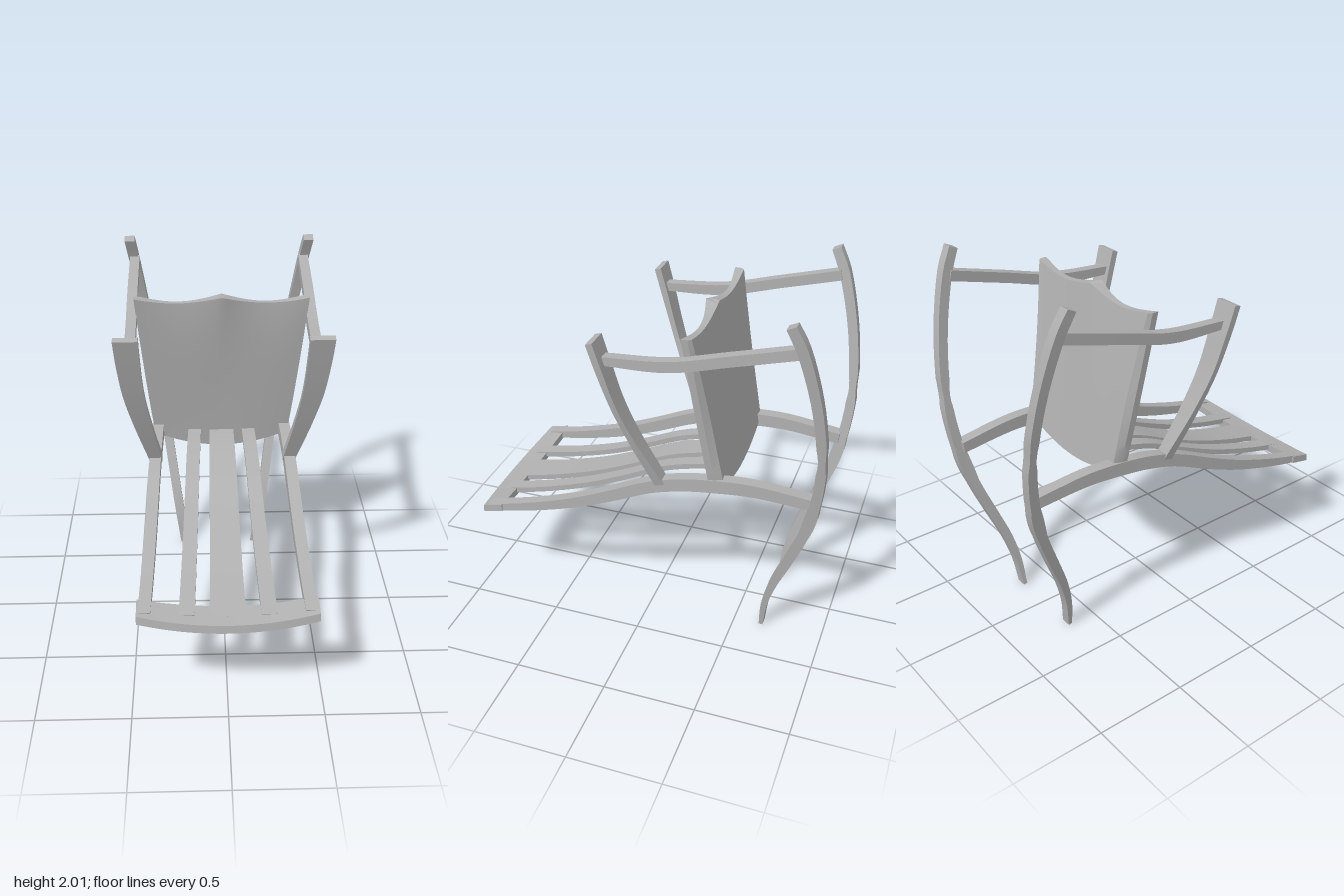
import * as THREE from 'three';
import { toCreasedNormals } from 'three/addons/utils/BufferGeometryUtils.js';

const V = (x, y, z) => new THREE.Vector3(x, y, z);
const lerp = THREE.MathUtils.lerp;

// Closed solid through a series of equal-length rings, capped at both ends
function loft(rings, crease = 0.6) {
  const n = rings[0].length, last = (rings.length - 1) * n, idx = [];
  const quad = (a, b, c, d) => idx.push(a, b, c, a, c, d);
  for (let r = 0; r < rings.length - 1; r++)
    for (let i = 0; i < n; i++) {
      const j = (i + 1) % n;
      quad(r * n + i, r * n + j, (r + 1) * n + j, (r + 1) * n + i);
    }
  for (let i = 0; i < n / 2 - 1; i++) {
    quad(n - 1 - i, n - 2 - i, i + 1, i);
    quad(last + i, last + i + 1, last + n - 2 - i, last + n - 1 - i);
  }
  // make the faces point outwards, whichever way the rings run
  const p = rings.flat();
  let volume = 0;
  for (let i = 0; i < idx.length; i += 3)
    volume += p[idx[i]].dot(p[idx[i + 1]].clone().cross(p[idx[i + 2]]));
  if (volume < 0) idx.reverse();
  const g = new THREE.BufferGeometry().setFromPoints(p);
  g.setIndex(idx);
  return toCreasedNormals(g, crease);
}

// Bar along stations [x, y, z, width across x, thickness], mirrored by side
function bar(stations, side = 1, steps = 28) {
  const path = new THREE.CatmullRomCurve3(stations.map(s => V(s[0], s[1], s[2])));
  const size = new THREE.CatmullRomCurve3(stations.map(s => V(s[3], s[4], 0)));
  const rings = [];
  for (let i = 0; i <= steps; i++) {
    const t = i / steps, c = path.getPoint(t), d = path.getTangent(t), s = size.getPoint(t);
    const n = V(0, -d.z, d.y).normalize().multiplyScalar(s.y / 2);
    rings.push([[-1, -1], [1, -1], [1, 1], [-1, 1]].map(([a, b]) =>
      V(side * (c.x + a * s.x / 2), c.y + b * n.y, c.z + b * n.z)));
  }
  return loft(rings);
}

// Shared side curve of the long rails and slats: z, y, thickness
const sweep = [[0.9, 0.587, 0.04], [0.667, 0.637, 0.05], [0.4, 0.716, 0.06], [0.19, 0.80, 0.066],
  [-0.05, 0.907, 0.07], [-0.23, 0.955, 0.075], [-0.39, 0.976, 0.076], [-0.6, 0.987, 0.072], [-0.91, 0.96, 0.062]];

const sideRail = sweep.map(([z, y, h]) => [0.383 + z * 0.042, y, z, 0.064, h]);

const longLeg = [[2.0, -0.777, 0.05], [1.88, -0.832, 0.055], [1.61, -0.905, 0.052], [1.34, -0.943, 0.05],
  [1.18, -0.947, 0.05], [0.945, -0.922, 0.054], [0.73, -0.868, 0.054], [0.52, -0.788, 0.052],
  [0.334, -0.715, 0.045], [0.17, -0.672, 0.034], [0.005, -0.655, 0.022]]
  .map(([y, z, h]) => [0.225 + y * 0.145, y, z, 0.056, h]);

const armPost = [[0.5, 1.775, 0.2, 0.13, 0.036], [0.494, 1.64, 0.16, 0.125, 0.036],
  [0.475, 1.42, 0.093, 0.113, 0.03], [0.437, 1.21, 0.015, 0.096, 0.034], [0.375, 0.93, -0.105, 0.07, 0.052]];

const armRest = [[0.485, 1.665, 0.165, 0.055, 0.046], [0.49, 1.692, -0.18, 0.056, 0.058],
  [0.492, 1.777, -0.5, 0.056, 0.056], [0.49, 1.865, -0.82, 0.055, 0.056]];

// Slat following the rails; x and width run from the crest end to the seat end
function slat(x0, x1, w0, w1, drop) {
  return bar(sweep.slice(0, 7).map(([z, y]) => {
    const t = (0.9 - z) / 1.29;
    return [lerp(x0, x1, t), y - drop * (1 - t * 0.6), z, lerp(w0, w1, t), 0.03];
  }));
}

// Bowed crest board joining the low ends of the rails
function crestBoard() {
  const rings = [];
  for (let i = 0; i <= 24; i++) {
    const u = i / 12 - 1, k = 1 - u * u, x = u * 0.46;
    const zf = 0.932 + 0.038 * k, zb = 0.818 + 0.017 * k, y = 0.602 - 0.037 * k;
    rings.push([V(x, y - 0.043, zf + 0.003), V(x, y, zf - 0.004),
      V(x, y + 0.024, zb), V(x, y - 0.019, zb)]);
  }
  return loft(rings);
}

// Saddled seat panel: hollowed face, chamfered sides, flat underside
function seatPanel() {
  const rings = [], cols = 32, rows = 24;
  for (let r = 0; r <= rows; r++) {
    const t = r / rows, w = lerp(0.385, 0.475, Math.pow(t, 0.85));
    const front = [], back = [];
    for (let c = 0; c <= cols; c++) {
      const u = 2 * c / cols - 1, k = 1 - u * u, scoop = Math.sin(Math.PI * Math.abs(u));
      const top = 1.84 - 0.038 * scoop - 0.01 * Math.abs(u), low = 0.955 - 0.085 * k;
      const y = lerp(low, top, t);
      const zf = lerp(-0.372, -0.215, t) - 0.04 * scoop * t ** 4 - 0.012 * k * Math.sin(Math.PI * t)
        - 0.02 * u ** 4 * t;
      front.push(V(u * w, y, zf));
      back.unshift(V(u * w * lerp(0.97, 0.93, Math.sin(Math.PI * t)), y + 0.03 * (1 - t),
        lerp(-0.445, -0.288, t)));
    }
    const edge = p => V(p.x, p.y + 0.015 * (1 - t), p.z - 0.035);
    rings.push([edge(front[0]), ...front, edge(front[cols]), ...back]);
  }
  return loft(rings, 0.45);
}

export function createModel() {
  const wood = new THREE.MeshStandardMaterial({ color: 0xb0b0b0 });
  wood.name = 'plain grey';
  const chair = new THREE.Group();
  chair.name = 'chair';
  const add = (name, geometry) => {
    const m = new THREE.Mesh(geometry, wood);
    m.name = name;
    chair.add(m);
  };

  // Paired frame members
  for (const [side, label] of [[1, 'left'], [-1, 'right']]) {
    add(label + 'SideRail', bar(sideRail, side, 40));
    add(label + 'LongLeg', bar(longLeg, side, 40));
    add(label + 'ArmPost', bar(armPost, side));
    add(label + 'ArmRest', bar(armRest, side));
    add(label + 'Slat', slat(side * 0.208, side * 0.155, 0.08, 0.074, 0.015));
  }

  // Middle parts
  add('centreSlat', slat(0, 0, 0.18, 0.14, 0.025));
  add('crestBoard', crestBoard());
  add('seatPanel', seatPanel());
  return chair;
}
